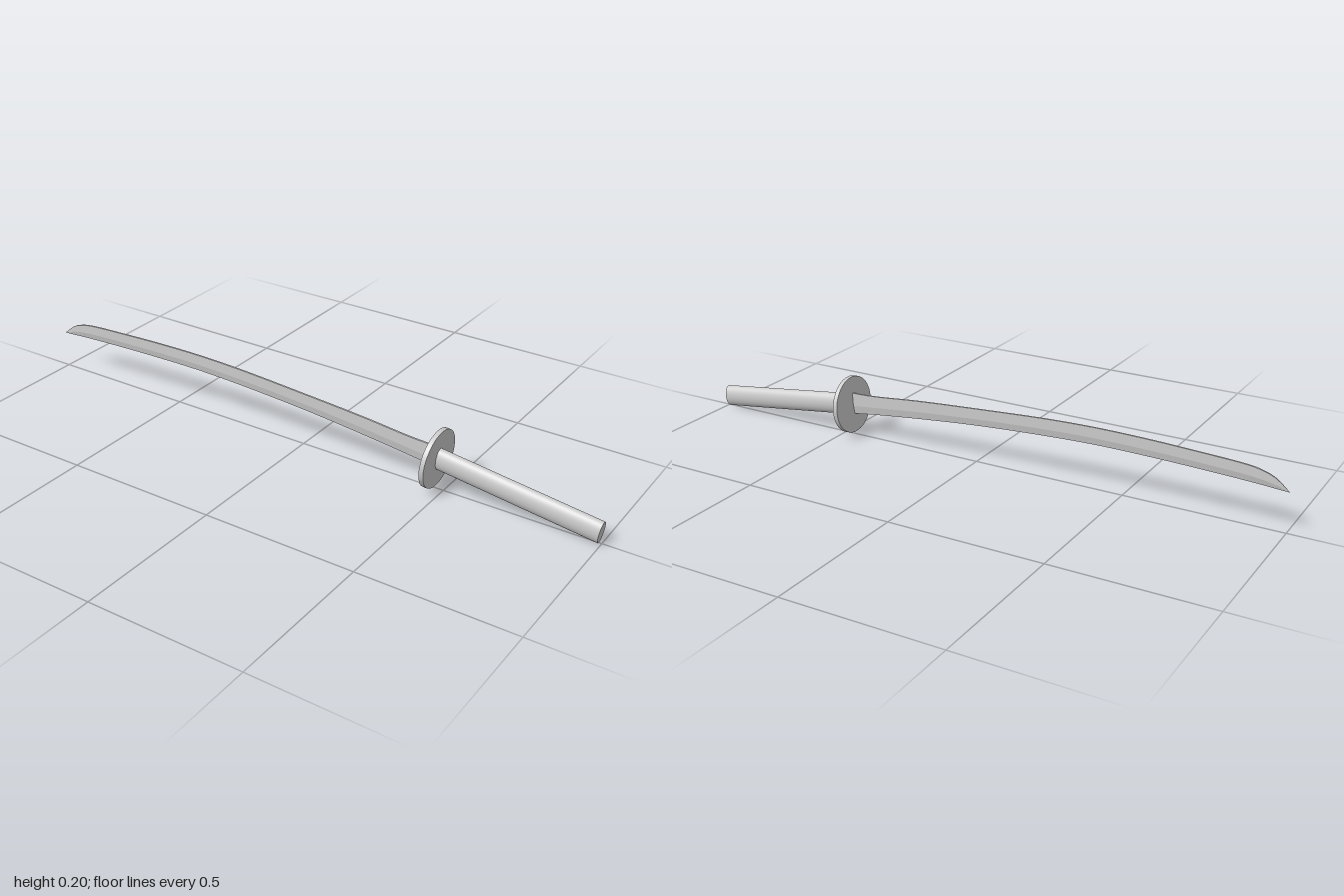
import * as THREE from 'three';
import { toCreasedNormals } from 'three/addons/utils/BufferGeometryUtils.js';

const material = new THREE.MeshStandardMaterial({ color: 0xcccccc });

// Stations along the blade: x, height of the spine, height of the cutting edge
const STATIONS = [
  [-1, 0.127, 0.1265], [-0.955, 0.162, 0.129], [-0.91, 0.178, 0.132], [-0.87, 0.184, 0.134],
  [-0.74, 0.191, 0.139], [-0.58, 0.197, 0.143], [-0.42, 0.199, 0.144], [-0.26, 0.195, 0.139],
  [0, 0.179, 0.123], [0.22, 0.163, 0.102], [0.385, 0.147, 0.083], [0.473, 0.143, 0.071],
];

// Five-sided section (flat spine, ridge on each side, sharp edge) lofted along the curve
function bladeGeometry(steps = 66) {
  const curve = new THREE.CatmullRomCurve3(STATIONS.map((s) => new THREE.Vector3(...s)));
  const positions = [];
  const index = [];
  const n = 5;
  for (let i = 0; i <= steps; i++) {
    const { x, y: spine, z: edge } = curve.getPoint(i / steps);
    const ridge = THREE.MathUtils.lerp(edge, spine, 0.4);
    const w = 0.004 * Math.min(1, (spine - edge) / 0.045);
    positions.push(
      x, spine, w * 0.75, x, ridge, w, x, edge, 0, x, ridge, -w, x, spine, -w * 0.75,
    );
    if (i === steps) break;
    for (let j = 0; j < n; j++) {
      const a = i * n + j, d = i * n + (j + 1) % n;
      index.push(a, d, a + n, d, d + n, a + n);
    }
  }
  // Close both ends
  const e = steps * n;
  for (let j = 1; j < n - 1; j++) {
    index.push(0, j + 1, j);
    index.push(e, e + j, e + j + 1);
  }
  const geometry = new THREE.BufferGeometry();
  geometry.setAttribute('position', new THREE.Float32BufferAttribute(positions, 3));
  geometry.setIndex(index);
  return toCreasedNormals(geometry, 0.15);
}

// Cylinder lying along x, tipped down toward the pommel
function rod(name, radiusY, radiusZ, length, tilt, x, y) {
  const geometry = new THREE.CylinderGeometry(1, 1, length, 48);
  geometry.scale(radiusY, 1, radiusZ);
  geometry.rotateZ(-Math.PI / 2);
  const mesh = new THREE.Mesh(geometry, material);
  mesh.name = name;
  mesh.rotation.z = -tilt;
  mesh.position.set(x, y, 0);
  return mesh;
}

export function createModel() {
  const group = new THREE.Group();
  group.name = 'curvedSword';

  const blade = new THREE.Mesh(bladeGeometry(), material);
  blade.name = 'blade';
  group.add(blade);

  // Round guard and oval grip
  group.add(rod('guard', 0.0935, 0.095, 0.015, 0.075, 0.473, 0.104));
  group.add(rod('grip', 0.0355, 0.0225, 0.525, 0.129, 0.735, 0.0705));

  return group;
}
